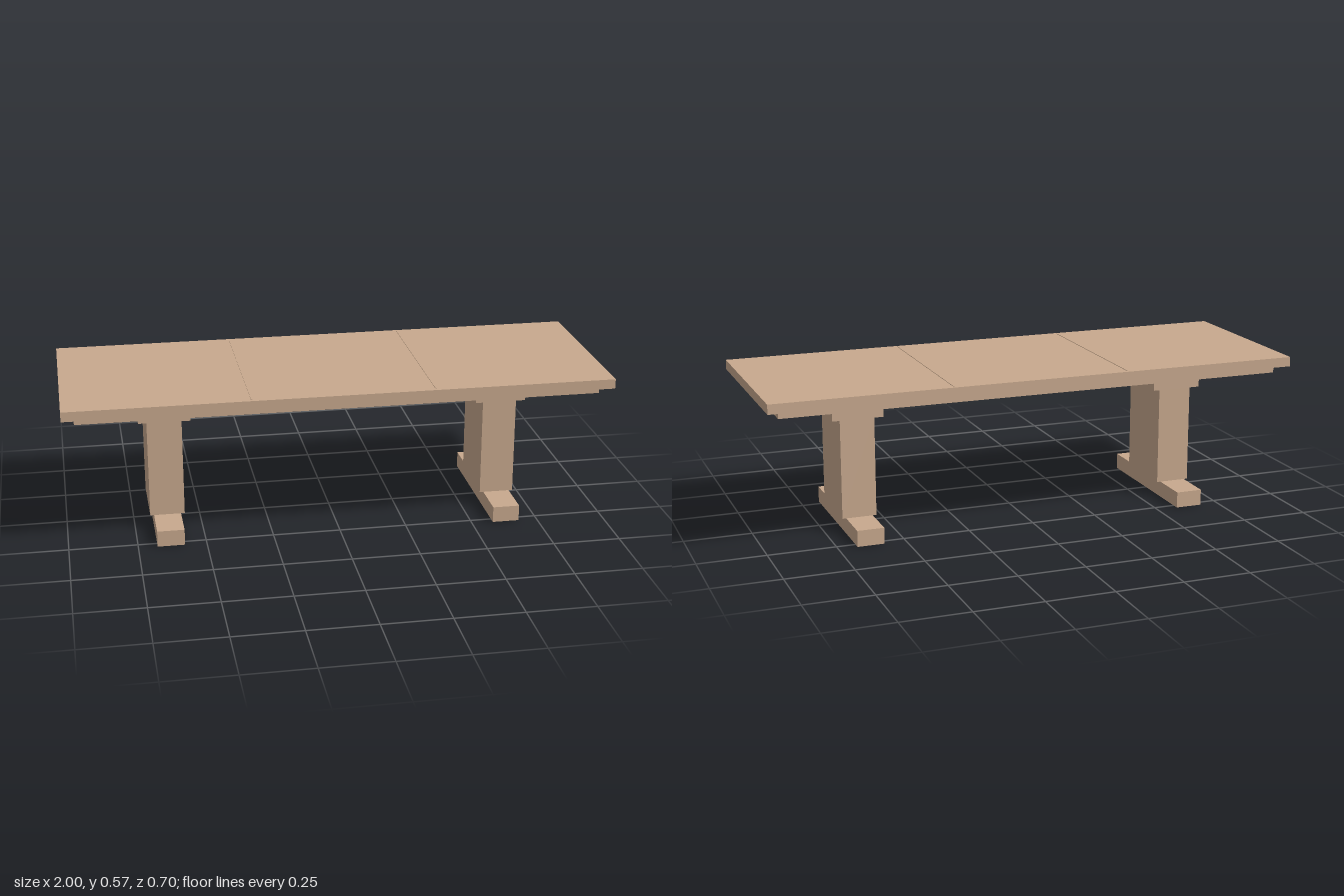
import * as THREE from 'three';

export function createModel() {
  const table = new THREE.Group();
  table.name = 'table';

  const wood = new THREE.MeshStandardMaterial({ color: 0xc8a98e });
  wood.name = 'light wood';

  // Box spanning heights y0 to y1, centred on x and on z = 0
  function block(name, parent, width, y0, y1, depth, x = 0) {
    const mesh = new THREE.Mesh(new THREE.BoxGeometry(width, y1 - y0, depth), wood);
    mesh.name = name;
    mesh.position.set(x, (y0 + y1) / 2, 0);
    parent.add(mesh);
  }

  // Table top with a stepped sub-frame below
  block('tableTop', table, 2, 0.535, 0.571, 0.704);
  block('subFrame', table, 1.91, 0.505, 0.535, 0.616);

  for (const [side, label] of [[1, 'left'], [-1, 'right']]) {
    // Fine seam strip dividing the top into three leaves
    block(label + 'Seam', table, 0.005, 0.568, 0.573, 0.676, side * 0.333);

    // Pedestal: foot, column and cap
    const pedestal = new THREE.Group();
    pedestal.name = label + 'Pedestal';
    pedestal.position.x = side * 0.63;
    block('foot', pedestal, 0.1, 0, 0.06, 0.556);
    block('column', pedestal, 0.128, 0.06, 0.432, 0.26);
    block('cap', pedestal, 0.19, 0.432, 0.505, 0.29);
    table.add(pedestal);
  }

  return table;
}
